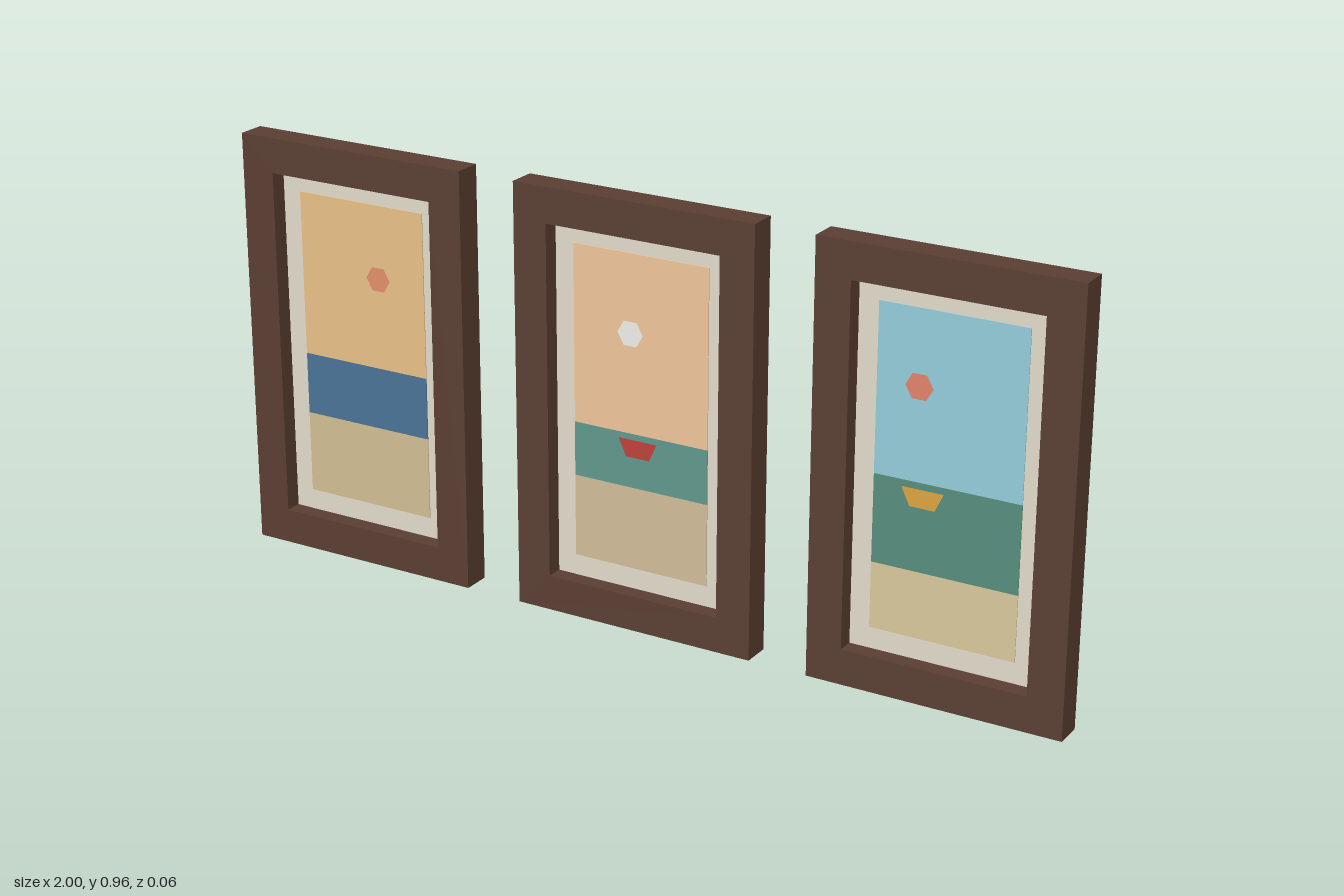
import * as THREE from 'three';

const W = 0.576, H = 0.962, D = 0.065, BAR = 0.08, SPACING = 0.712;
const MAT_Z = -0.006;

const material = (color) => new THREE.MeshStandardMaterial({ color });
const wood = material(0x5c4033);
const matBoard = material(0xe5decd);

function add(group, name, geometry, mat, x, y, z) {
  const mesh = new THREE.Mesh(geometry, mat);
  mesh.name = name;
  mesh.position.set(x, y, z);
  group.add(mesh);
}

// Closed rectangular wooden frame with a straight-sided opening
function frameGeometry() {
  const w = W / 2, x = w - BAR;
  const shape = new THREE.Shape([[-w, 0], [w, 0], [w, H], [-w, H]].map(p => new THREE.Vector2(...p)));
  shape.holes.push(new THREE.Path(
    [[-x, BAR], [-x, H - BAR], [x, H - BAR], [x, BAR]].map(p => new THREE.Vector2(...p))));
  return new THREE.ExtrudeGeometry(shape, { depth: D, bevelEnabled: false });
}

// Boat hull: a trapezoid, wider at the top
function hullGeometry() {
  const shape = new THREE.Shape(
    [[-0.028, -0.02], [0.028, -0.02], [0.047, 0.02], [-0.047, 0.02]].map(p => new THREE.Vector2(...p)));
  return new THREE.ShapeGeometry(shape);
}

// Horizons and colours of the three seascapes
const pictures = [
  { sky: 0xedc388, sea: 0x4b7599, sand: 0xd3c096, shore: 0.317, horizon: 0.46,
    disc: [0.043, 0.669, 0xe5926c] },
  { sky: 0xf4c79d, sea: 0x619a8e, sand: 0xd3c09b, shore: 0.315, horizon: 0.438,
    disc: [-0.024, 0.662, 0xf2f2ee], boat: [-0.006, 0.405, 0xc2433c] },
  { sky: 0x96d0de, sea: 0x58907f, sand: 0xdbcb9e, shore: 0.275, horizon: 0.47,
    disc: [-0.068, 0.674, 0xe5866c], boat: [-0.053, 0.436, 0xdea743] },
];

function framedPicture(p) {
  const g = new THREE.Group();
  add(g, 'frame', frameGeometry(), wood, 0, 0, -D / 2);

  // Backing board and pale mount fill the opening behind the recess
  const ow = W - 2 * BAR, oh = H - 2 * BAR;
  const backing = 0.02, mount = MAT_Z - (-D / 2 + backing);
  add(g, 'backing', new THREE.BoxGeometry(ow, oh, backing), wood, 0, H / 2, -D / 2 + backing / 2);
  add(g, 'mount', new THREE.BoxGeometry(ow, oh, mount), matBoard, 0, H / 2, MAT_Z - mount / 2);

  // Painted bands, stacked from sand up to sky
  const bands = [['sand', 0.128, p.shore], ['sea', p.shore, p.horizon], ['sky', p.horizon, 0.838]];
  for (const [name, y0, y1] of bands) {
    add(g, name, new THREE.BoxGeometry(0.326, y1 - y0, 0.002), material(p[name]),
      0, (y0 + y1) / 2, MAT_Z + 0.001);
  }

  // Six-sided sun and boat lie just in front of the bands
  const [dx, dy, dc] = p.disc;
  add(g, 'sun', new THREE.CircleGeometry(0.031, 6), material(dc), dx, dy, MAT_Z + 0.004);
  if (p.boat) {
    const [bx, by, bc] = p.boat;
    add(g, 'boat', hullGeometry(), material(bc), bx, by, MAT_Z + 0.004);
  }
  return g;
}

export function createModel() {
  const model = new THREE.Group();
  model.name = 'framedPictures';
  pictures.forEach((p, i) => {
    const g = framedPicture(p);
    g.name = ['rightPicture', 'middlePicture', 'leftPicture'][i];
    g.position.x = (i - 1) * SPACING;
    model.add(g);
  });
  return model;
}
